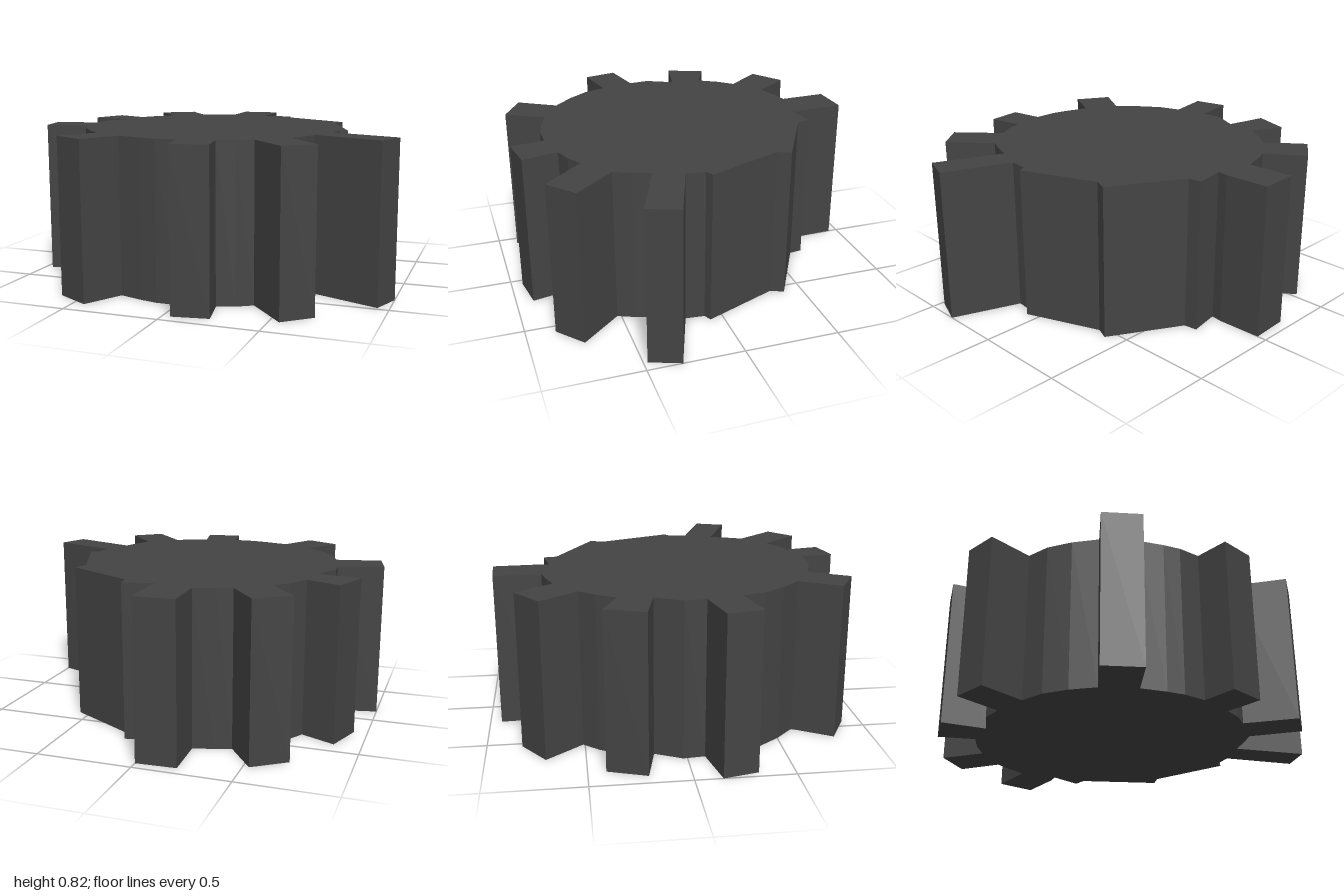
import * as THREE from 'three';

const HEIGHT = 0.82;

// Each tooth in plan (x, z): base, tip, tip, base, running round the gear
const TEETH = [
  [[0.01, -0.71], [0, -0.95], [-0.21, -0.94], [-0.2, -0.69]],
  [[-0.39, -0.63], [-0.53, -0.82], [-0.7, -0.7], [-0.55, -0.51]],
  [[-0.68, -0.33], [-0.86, -0.41], [-0.93, -0.21], [-0.7, -0.16]],
  [[-0.76, 0.09], [-1, 0.14], [-0.96, 0.32], [-0.72, 0.27]],
  [[-0.5, 0.6], [-0.62, 0.8], [-0.44, 0.9], [-0.33, 0.7]],
  [[0.01, 0.76], [0.04, 0.94], [0.23, 0.91], [0.19, 0.72]],
  [[0.36, 0.64], [0.55, 0.85], [0.69, 0.73], [0.51, 0.52]],
  [[0.58, 0.34], [0.94, 0.48], [1, 0.32], [0.64, 0.19]],
];

// Rim points that follow each tooth; the last run is the stepped toothless side
const RIM = [
  [[-0.31, -0.66]],
  [[-0.62, -0.43]],
  [[-0.77, -0.02]],
  [[-0.68, 0.39], [-0.6, 0.5]],
  [[-0.2, 0.74], [-0.11, 0.76]],
  [[0.28, 0.69]],
  [[0.55, 0.43]],
  [[0.65, 0.09], [0.69, 0.07], [0.53, -0.33], [0.56, -0.4], [0.18, -0.61], [0.17, -0.68], [0, -0.65]],
];

export function createModel() {
  const group = new THREE.Group();
  group.name = 'gear';

  // Plan outline pushed straight up into a thick gear wheel
  const outline = TEETH.flatMap((tooth, i) => [...tooth, ...RIM[i]]);
  const shape = new THREE.Shape(outline.map(([x, z]) => new THREE.Vector2(x, -z)));
  const geometry = new THREE.ExtrudeGeometry(shape, { depth: HEIGHT, bevelEnabled: false });
  geometry.rotateX(-Math.PI / 2);

  const material = new THREE.MeshStandardMaterial({ color: 0x444444, flatShading: true });
  const wheel = new THREE.Mesh(geometry, material);
  wheel.name = 'toothedWheel';
  group.add(wheel);
  return group;
}
